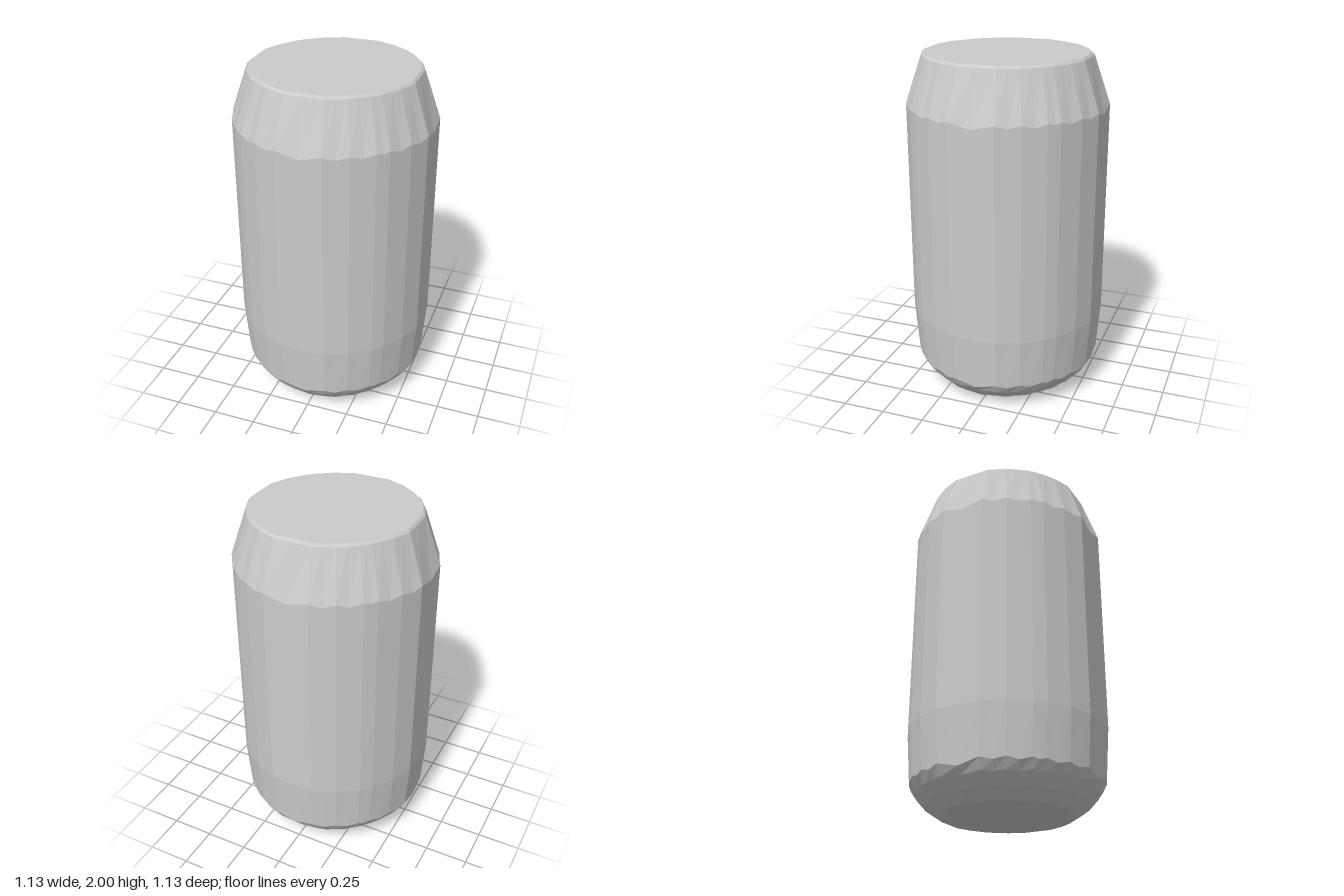
import * as THREE from 'three';

const material = new THREE.MeshStandardMaterial({ color: 0xcccccc, flatShading: true });

// Outline corners of one quarter, turned four times; a midpoint sits between neighbours.
const quarter = [[0.13, 0.565], [0.26, 0.51], [0.375, 0.43], [0.43, 0.375], [0.51, 0.26], [0.565, 0.13]];
const corners = [];
for (let q = 0, pts = quarter; q < 4; q++) {
  corners.push(...pts);
  pts = pts.map(([x, z]) => [z, -x]);
}
const outline = [];
corners.forEach(([x, z], i) => {
  const [nx, nz] = corners[(i + 1) % corners.length];
  const width = Math.hypot(nx - x, nz - z) / 0.26;
  outline.push({ x, z, dip: 0 }, { x: (x + nx) / 2, z: (z + nz) / 2, dip: Math.min(1, width) });
});

// Skin a stack of rings: [half width, height, sag at the middle of each facet].
function skin(name, rings) {
  const n = outline.length, pos = [], index = [];
  for (const [half, y, sag = 0] of rings)
    for (const p of outline) pos.push(p.x * half / 0.565, y - sag * p.dip, p.z * half / 0.565);
  for (let r = 0; r < rings.length - 1; r++) {
    for (let i = 0; i < n; i++) {
      const j = (i + 1) % n;
      const a = r * n + i, b = r * n + j, c = a + n, d = b + n;
      if (rings[r][0] > 0) index.push(a, b, d);
      if (rings[r + 1][0] > 0) index.push(a, d, c);
      else if (rings[r][0] > 0) index.splice(-3, 3, a, b, c);
    }
  }
  const geometry = new THREE.BufferGeometry();
  geometry.setAttribute('position', new THREE.Float32BufferAttribute(pos, 3));
  geometry.setIndex(index);
  geometry.computeVertexNormals();
  const mesh = new THREE.Mesh(geometry, material);
  mesh.name = name;
  return mesh;
}

export function createModel() {
  const group = new THREE.Group();
  group.name = 'can';
  group.add(
    skin('base', [[0, 0], [0.37, 0]]),
    // rounded lower edge with scalloped facets
    skin('lowerBevel', [[0.37, 0], [0.455, 0.06, 0.015], [0.51, 0.12, 0.01], [0.543, 0.18, 0.03]]),
    skin('body', [[0.543, 0.18, 0.03], [0.565, 0.47], [0.565, 1.715, 0.03]]),
    skin('shoulder', [[0.565, 1.715, 0.03], [0.473, 1.987]]),
    skin('rim', [[0.473, 1.987], [0.46, 2]]),
    skin('lid', [[0.46, 2], [0, 2]]),
  );
  return group;
}
